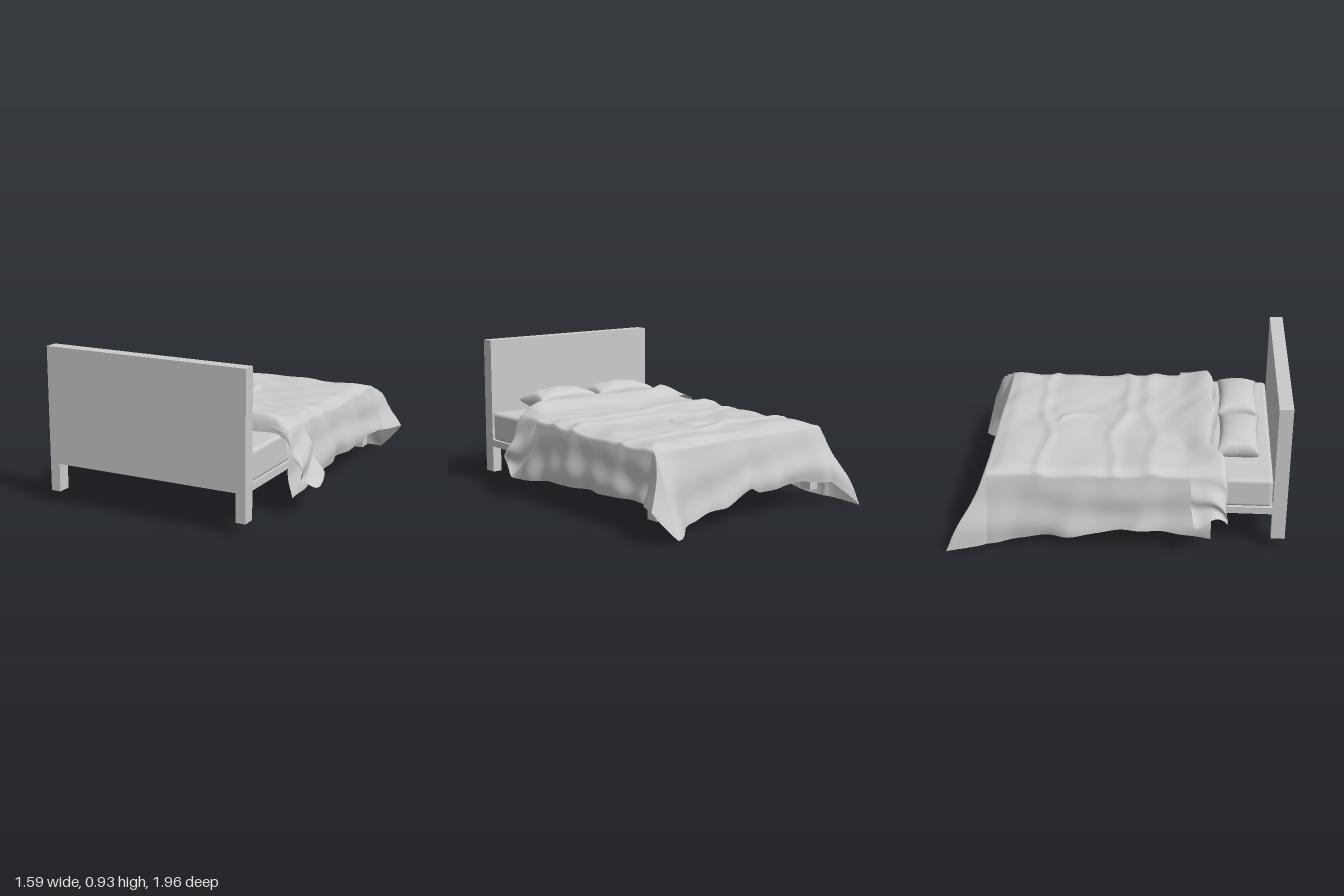
import * as THREE from 'three';
import { RoundedBoxGeometry } from 'three/addons/geometries/RoundedBoxGeometry.js';

const { lerp, clamp, smoothstep } = THREE.MathUtils;
const grey = new THREE.MeshStandardMaterial({ color: 0xcccccc });
const clothGrey = new THREE.MeshStandardMaterial({ color: 0xcccccc, side: THREE.DoubleSide });

// Piecewise curve through [position, value] pairs, ascending
function along(pairs, p) {
  if (p <= pairs[0][0]) return pairs[0][1];
  for (let i = 1; i < pairs.length; i++) {
    const [p0, v0] = pairs[i - 1], [p1, v1] = pairs[i];
    if (p <= p1) return lerp(v0, v1, smoothstep(p, p0, p1));
  }
  return pairs[pairs.length - 1][1];
}

// Soft irregular wrinkles, about -1..1
function wrinkle(x, z) {
  const wx = x + 0.08 * Math.sin(5 * z + 1), wz = z + 0.07 * Math.sin(6 * x + 2);
  return 0.4 * Math.sin(17 * wz + 2 * wx) + 0.3 * Math.sin(11 * wx - 9 * wz + 1)
    + 0.2 * Math.sin(23 * wx + 13 * wz) + 0.15 * Math.sin(31 * wz - 15 * wx);
}

// Narrow ridge where d is near 0
const ridge = (d, width) => Math.exp(-((d / width) ** 2));

// Grid surface: u runs -1..1 over x, v runs 0..1 from headboard to foot
function cloth(name, nu, nv, point) {
  const geo = new THREE.PlaneGeometry(1, 1, nu, nv);
  const pos = geo.attributes.position, uv = geo.attributes.uv;
  for (let i = 0; i < pos.count; i++) pos.setXYZ(i, ...point(uv.getX(i) * 2 - 1, uv.getY(i)));
  geo.computeVertexNormals();
  const mesh = new THREE.Mesh(geo, clothGrey);
  mesh.name = name;
  return mesh;
}

function box(name, x0, x1, y0, y1, z0, z1, radius = 0) {
  const size = [x1 - x0, y1 - y0, z1 - z0];
  const geo = radius ? new RoundedBoxGeometry(...size, 3, radius) : new THREE.BoxGeometry(...size);
  const mesh = new THREE.Mesh(geo, grey);
  mesh.position.set((x0 + x1) / 2, (y0 + y1) / 2, (z0 + z1) / 2);
  mesh.name = name;
  return mesh;
}

// Hem heights of the blanket: both sides by z, foot by x
const hemRight = [[-0.74, 0.035], [-0.3, 0.09], [0.15, 0.155], [0.57, 0.11]];
const hemLeft = [[-0.74, 0.2], [-0.2, 0.17], [0.15, 0.155], [0.57, 0.12]];
const hemFoot = [[-0.6, 0.15], [-0.4, 0.17], [-0.12, 0.15], [-0.03, 0.185], [0.2, 0.105], [0.5, 0.055], [0.64, 0.03]];

// Flare of the blanket at each foot corner
const rightFin = { corner: 0.01, out: 0.06, back: 0.17, spread: 0.07, lift: 0.03 };
const leftFin = { corner: 0.2, out: 0.09, back: 0.04, spread: 0.13, lift: 0.05 };

function blanketPoint(u, v) {
  const side = u < 0 ? -1 : 1, fin = u < 0 ? rightFin : leftFin;
  const a = Math.max(0, (Math.abs(u) - 0.7) / 0.3); // overhang at the side
  const b = Math.max(0, (v - 0.78) / 0.22);         // overhang at the foot
  let x = clamp(u / 0.7, -1, 1) * 0.64;
  let z = lerp(0.57, -0.73, Math.min(1, v / 0.78));

  // Top surface with cross ridges, a rise near the fold and one curved crease
  const arc = Math.hypot(x + 0.09, z + 0.22) - 0.14;
  const crease = ridge(arc, 0.018) * smoothstep(x, -0.1, 0) * smoothstep(-z, 0.1, 0.2);
  const sway = 0.04 * Math.sin(5 * x) + 0.015 * Math.sin(13 * x + 1);
  const cross = ridge(z + 0.44 + sway, 0.03) + ridge(z - 0.02 - sway, 0.035) + ridge(z - 0.2 + sway, 0.045);
  const edge = Math.max(smoothstep(Math.abs(x), 0.56, 0.64), smoothstep(-z, 0.63, 0.73));
  const top = 0.5 + 0.015 * smoothstep(z, 0.05, 0.25) + 0.01 * wrinkle(x, z) + 0.012 * cross
    + 0.016 * crease - 0.02 * edge;

  // Hanging sides
  const t = Math.max(a, b), k = t > 0 ? Math.min(a, b) / t : 0;
  const straight = a >= b ? along(side < 0 ? hemRight : hemLeft, z) : along(hemFoot, x);
  const y = lerp(top, lerp(straight, fin.corner, k), t) + fin.lift * k * Math.sin(t * Math.PI);

  // Irregular hanging folds, then the rounded edge and the corner flare
  const roll = 0.011 * Math.sin(t * 9 + 1.5 * Math.sin(4 * z + 3 * x));
  const sideFold = 0.012 * Math.sin(11 * z + side + 2 * Math.sin(3 * z)) + 0.006 * Math.sin(29 * z + 3 * t);
  const footFold = 0.011 * Math.sin(10 * x + 2 * Math.sin(4 * x)) + 0.005 * Math.sin(31 * x + 2 * t);
  const spread = smoothstep(Math.abs(x), 0.42, 0.64) * b;
  const flare = smoothstep(-z, 0.45, 0.73) * a;
  x += side * (0.035 * Math.sin(a * Math.PI / 2) + (sideFold + roll) * a + 0.02 * flare + fin.out * a * Math.sqrt(b));
  z -= 0.05 * Math.sin(b * Math.PI / 2) + (footFold + roll) * b + fin.spread * spread * (1 - 0.6 * a)
    + fin.back * a * b;
  return [x, Math.max(0, y), z];
}

// Front and back edges of the folded-over strip, by x
const foldFront = [[-0.78, 0.67], [-0.55, 0.65], [-0.32, 0.565], [0, 0.6], [0.3, 0.59], [0.6, 0.575], [0.78, 0.56]];
const foldBack = [[-0.78, 0.46], [-0.6, 0.44], [-0.4, 0.4], [-0.2, 0.33], [0, 0.27], [0.2, 0.35], [0.6, 0.365], [0.78, 0.335]];

function foldPoint(u, v) {
  const side = u < 0 ? -1 : 1;
  const a = Math.max(0, (Math.abs(u) - 0.72) / 0.28);
  const flat = clamp(u / 0.72, -1, 1) * 0.65;
  const x = flat + side * a * 0.12;
  const front = along(foldFront, x) + 0.008 * Math.sin(19 * x), back = along(foldBack, x);
  const s = Math.max(0, (v - 0.25) / 0.75);        // 0 at the crest, 1 at the back edge
  const curl = Math.min(1, v / 0.25) * Math.PI / 2; // rounded front edge
  const bulge = (1 - smoothstep(Math.abs(x), 0.5, 0.66)) * 0.04;
  const z = v < 0.25 ? front - 0.035 * (1 - Math.cos(curl) * 0.9) : lerp(front - 0.035, back, s);
  const crest = 0.54 + bulge + 0.008 * wrinkle(x, z);
  const backY = 0.536 + 0.008 * wrinkle(x, z);
  let y = v < 0.25 ? lerp(0.48, crest, Math.sin(curl)) : lerp(crest, backY, smoothstep(s, 0, 1));
  y -= 0.03 * smoothstep(Math.abs(flat), 0.58, 0.65);
  const tip = side < 0 ? 0.27 : 0.19;
  y = lerp(y, tip + 0.03 * Math.sin(v * 6 + side), a);
  return [x + side * 0.025 * a * Math.sin(a * 11 + v * 4), y, z + 0.008 * a * Math.sin(a * 9)];
}

// Cushion with concave sides, pulled corners and a pinched seam
function pillow(name, cx, cz, turn) {
  const geo = new THREE.SphereGeometry(1, 56, 36);
  const pos = geo.attributes.position;
  for (let i = 0; i < pos.count; i++) {
    const p = new THREE.Vector3().fromBufferAttribute(pos, i);
    const r = Math.min(1, Math.hypot(p.x, p.z)), m = Math.max(Math.abs(p.x), Math.abs(p.z)) || 1;
    // Disc to square
    const f = Math.asin(r) / (Math.PI / 2), sx = p.x / m * f, sz = p.z / m * f;
    const x = sx * (1 - 0.1 * (1 - sz * sz) * Math.abs(sx));
    const z = sz * (1 - 0.1 * (1 - sx * sx) * Math.abs(sz));
    const h = Math.pow(Math.max(0, (1 - sx * sx) * (1 - sz * sz)), 0.36);
    const pucker = 1 + 0.06 * Math.sin(9 * sx + 4 * sz) * f;
    pos.setXYZ(i, x * 0.23, Math.sign(p.y) * h * 0.077 * pucker, z * 0.122);
  }
  geo.computeVertexNormals();
  const mesh = new THREE.Mesh(geo, clothGrey);
  mesh.position.set(cx, 0.55, cz);
  mesh.rotation.y = turn;
  mesh.name = name;
  return mesh;
}

export function createModel() {
  const bed = new THREE.Group();
  bed.name = 'bed';

  // Frame
  bed.add(box('headboard', -0.63, 0.62, 0.255, 0.935, 0.92, 1));
  bed.add(box('bedBase', -0.63, 0.62, 0.255, 0.297, -0.73, 0.92));
  for (const [name, z0, z1] of [['headLeg', 0.92, 1], ['footLeg', -0.73, -0.65]]) {
    for (const x0 of [-0.63, 0.56]) bed.add(box(name, x0, x0 + 0.06, 0.09, 0.255, z0, z1));
  }

  // Bedding
  bed.add(box('mattress', -0.625, 0.617, 0.297, 0.475, -0.725, 0.915, 0.022));
  bed.add(pillow('rightPillow', -0.238, 0.722, -0.03));
  bed.add(pillow('leftPillow', 0.23, 0.722, 0));
  bed.add(cloth('blanket', 150, 130, blanketPoint));
  bed.add(cloth('blanketFold', 120, 40, foldPoint));
  return bed;
}
